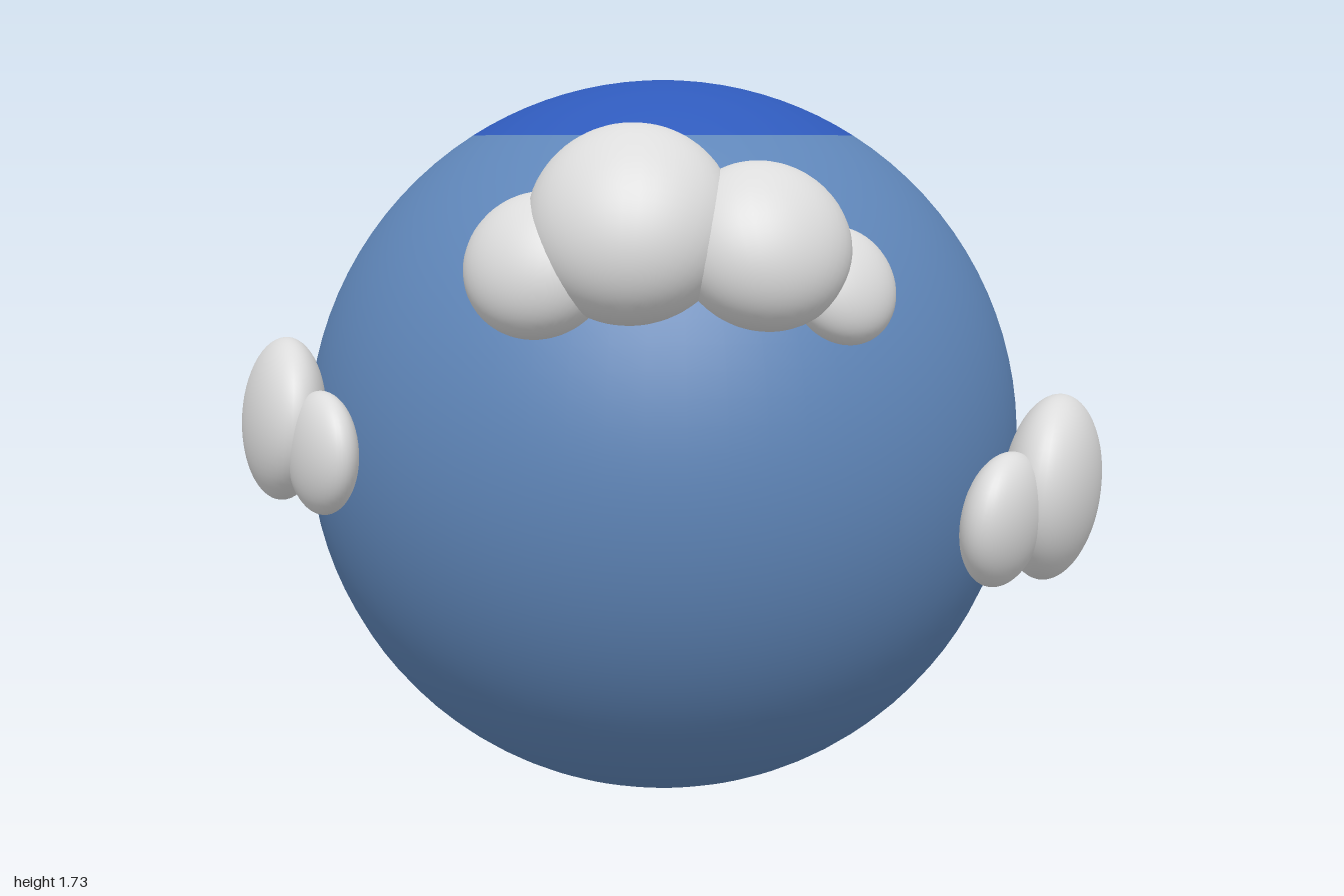
import * as THREE from 'three';

const CENTER = new THREE.Vector3(-0.07, 0.866, 0.035);
const RADIUS = 0.866;
const CAP_ANGLE = 0.56; // polar angle where the cap meets the globe

const globeBlue = new THREE.MeshStandardMaterial({ name: 'globe blue', color: 0x5f86b9 });
const capBlue = new THREE.MeshStandardMaterial({ name: 'cap blue', color: 0x2f5abb });
const cloudWhite = new THREE.MeshStandardMaterial({ name: 'cloud white', color: 0xdcdcdc });

// Each puff: centre x, y, z, then half width, half height and half thickness
const CLOUDS = {
  frontCloud: [
    [0.045, 1.42, 0.79, 0.215, 0.222, 0.165],
    [-0.14, 1.335, 0.83, 0.16, 0.16, 0.115],
    [0.31, 1.375, 0.735, 0.185, 0.185, 0.135],
    [0.46, 1.29, 0.65, 0.12, 0.13, 0.08],
  ],
  leftCloud: [
    [0.885, 0.795, 0.165, 0.208, 0.217, 0.11],
    [0.785, 0.75, 0.35, 0.145, 0.155, 0.08],
    [0.845, 0.745, -0.07, 0.165, 0.17, 0.095],
  ],
  rightCloud: [
    [-0.84, 0.957, 0.565, 0.195, 0.187, 0.09],
    [-0.69, 0.903, 0.695, 0.135, 0.138, 0.065],
    [-0.915, 0.895, 0.4, 0.14, 0.13, 0.07],
  ],
  backCloud: [
    [-0.07, 1.237, -0.832, 0.205, 0.233, 0.12],
    [-0.31, 1.18, -0.81, 0.15, 0.17, 0.09],
    [0.17, 1.18, -0.81, 0.15, 0.17, 0.09],
  ],
};

// Flattened puffs that lie against the globe, thin axis pointing outward
function makeCloud(name, puffs) {
  const cloud = new THREE.Group();
  cloud.name = name;
  const ball = new THREE.SphereGeometry(1, 40, 28);
  for (const [x, y, z, w, h, t] of puffs) {
    const puff = new THREE.Mesh(ball, cloudWhite);
    puff.name = 'cloudPuff';
    puff.position.set(x, y, z);
    puff.lookAt(puff.position.clone().multiplyScalar(2).sub(CENTER));
    puff.scale.set(w, h, t);
    cloud.add(puff);
  }
  return cloud;
}

// Band of the globe between two polar angles
function makeGlobePart(name, material, start, end, rows) {
  const geometry = new THREE.SphereGeometry(RADIUS, 64, rows, 0, Math.PI * 2, start, end - start);
  const mesh = new THREE.Mesh(geometry, material);
  mesh.name = name;
  mesh.position.copy(CENTER);
  return mesh;
}

export function createModel() {
  const model = new THREE.Group();
  model.name = 'cloudyGlobe';
  model.add(makeGlobePart('globe', globeBlue, CAP_ANGLE, Math.PI, 40));
  model.add(makeGlobePart('polarCap', capBlue, 0, CAP_ANGLE, 10));
  for (const [name, puffs] of Object.entries(CLOUDS)) model.add(makeCloud(name, puffs));
  return model;
}
